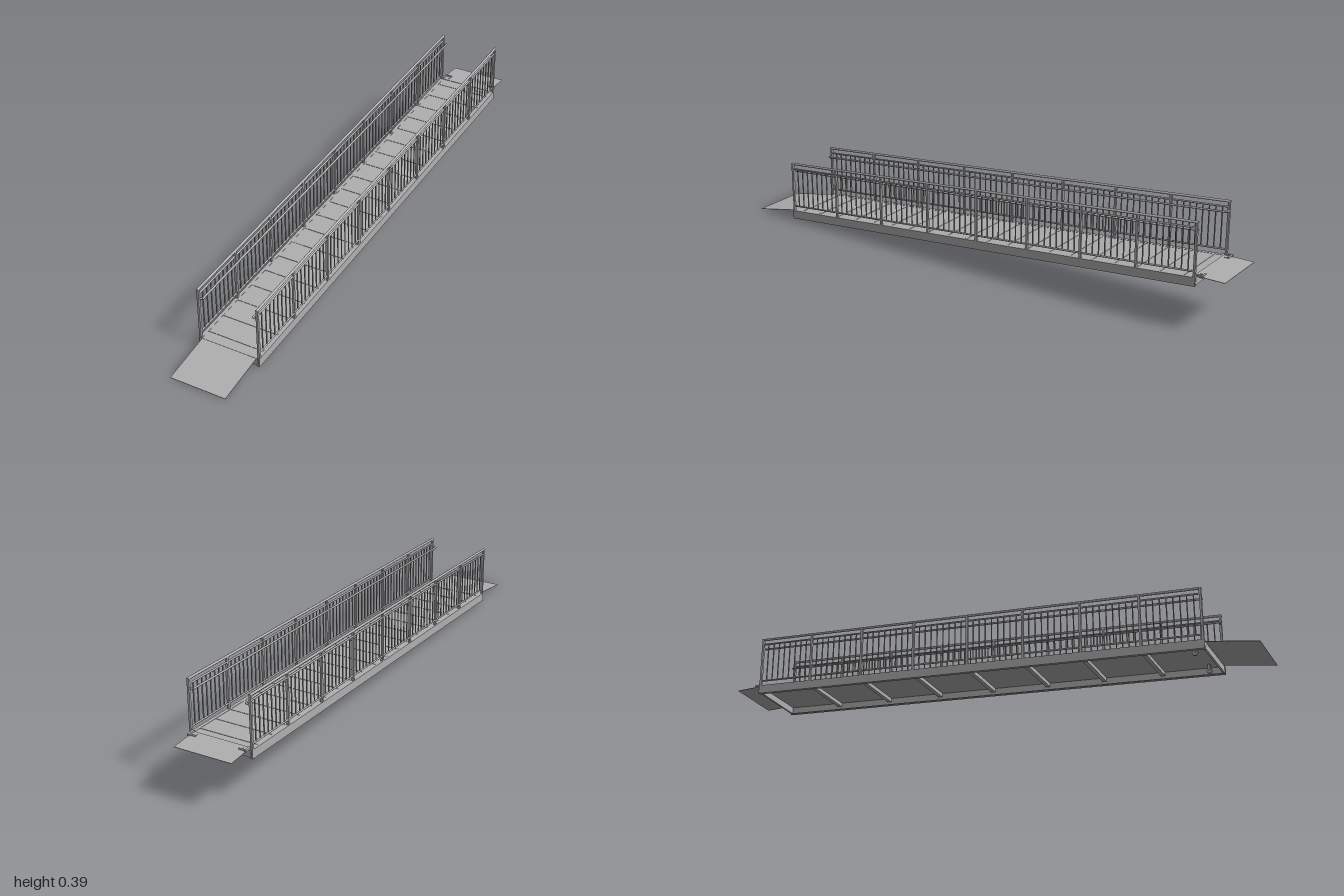
import * as THREE from 'three';
import { mergeGeometries } from 'three/addons/utils/BufferGeometryUtils.js';

const FRONT = 0.82, BACK = -0.9, LENGTH = FRONT - BACK, MID = (FRONT + BACK) / 2;
const SLOPE = 0.0905;
const BAYS = 8, BAY = (LENGTH - 0.01) / BAYS, BALUSTERS = 8;

// Heights are measured at the low front end; incline() shears parts up the slope.
const incline = (g) => {
  const p = g.attributes.position;
  for (let i = 0; i < p.count; i++) p.setY(i, p.getY(i) + SLOPE * (FRONT - p.getZ(i)));
  g.computeVertexNormals();
  return g;
};
const box = (w, h, d, x, y, z) => new THREE.BoxGeometry(w, h, d).translate(x, y, z);
const pipe = (r, len, x, y, z) => new THREE.CylinderGeometry(r, r, len, 10).rotateX(Math.PI / 2).translate(x, y, z);
const crossPipe = (r, len, x, y, z) => new THREE.CylinderGeometry(r, r, len, 10).rotateZ(Math.PI / 2).translate(x, y, z);

export function createModel() {
  const model = new THREE.Group();
  model.name = 'accessRamp';
  const metal = new THREE.MeshStandardMaterial({ color: 0xb0b0b0 });
  metal.name = 'grey aluminium';

  const add = (name, parts, sloped = true) => {
    const g = mergeGeometries(parts);
    const mesh = new THREE.Mesh(sloped ? incline(g) : g, metal);
    mesh.name = name;
    model.add(mesh);
  };
  const postZ = (i) => FRONT - 0.005 - i * BAY;

  // Walking surface with raised grip strips
  add('deck', [box(0.218, 0.004, LENGTH, 0, 0.035, MID)]);
  const strips = [];
  for (let i = 0; i < 20; i++) strips.push(box(0.216, 0.0015, 0.006, 0, 0.0375, FRONT - 0.04 - i * 0.086));
  add('gripStrips', strips);

  // Cross beams under the deck, one at each post
  const beams = [];
  for (let i = 0; i <= BAYS; i++) {
    const end = i === 0 || i === BAYS;
    beams.push(box(0.216, end ? 0.024 : 0.014, end ? 0.008 : 0.016, 0, end ? 0.021 : 0.026, postZ(i)));
  }
  add('crossBeams', beams);

  for (const s of [1, -1]) {
    const side = s > 0 ? 'left' : 'right';
    const xRail = s * 0.1125, xHand = s * 0.0965;

    // Channel-shaped side beam
    add(side + 'Stringer', [
      box(0.004, 0.032, LENGTH, s * 0.115, 0.022, MID),
      box(0.012, 0.003, LENGTH, s * 0.111, 0.0365, MID),
      box(0.012, 0.003, LENGTH, s * 0.111, 0.0075, MID),
    ]);

    // Guard rail: posts, balusters and three long rails
    const posts = [], balusters = [], brackets = [];
    for (let i = 0; i <= BAYS; i++) {
      const z = postZ(i);
      posts.push(box(0.008, 0.190, 0.008, xRail, 0.132, z));
      if (i > 0 && i < BAYS) {
        brackets.push(new THREE.CylinderGeometry(0.0016, 0.0016, 0.017, 6)
          .rotateZ(s * 1.1).translate(s * 0.1045, 0.189, z));
      }
      if (i === BAYS) continue;
      for (let j = 1; j <= BALUSTERS; j++) {
        balusters.push(box(0.0035, 0.15, 0.0035, xRail, 0.132, z - (j * BAY) / (BALUSTERS + 1)));
      }
    }
    add(side + 'Posts', posts);
    add(side + 'Balusters', balusters);
    add(side + 'GuardRails', [
      pipe(0.0045, LENGTH, xRail, 0.2265, MID),
      pipe(0.0033, LENGTH - 0.01, xRail, 0.207, MID),
      pipe(0.0033, LENGTH - 0.01, xRail, 0.057, MID),
    ]);

    // Inner handrail returned to the end posts
    add(side + 'Handrail', [
      pipe(0.0036, LENGTH - 0.01, xHand, 0.194, MID),
      crossPipe(0.0033, 0.018, s * 0.1045, 0.194, postZ(0)),
      crossPipe(0.0033, 0.018, s * 0.1045, 0.194, postZ(BAYS)),
    ]);
    add(side + 'HandrailBrackets', brackets);

    // Wheel and fork under the low end
    add(side + 'Wheel', [
      crossPipe(0.010, 0.008, s * 0.078, 0.0135, 0.775),
      box(0.002, 0.022, 0.008, s * 0.0725, 0.024, 0.775),
      box(0.002, 0.022, 0.008, s * 0.0835, 0.024, 0.775),
    ], false);

    // Hinge bar and hook at the high end
    add(side + 'Hinge', [
      crossPipe(0.003, 0.028, s * 0.094, 0.199, -0.918),
      box(0.007, 0.007, 0.03, s * 0.105, 0.198, -0.908),
      box(0.006, 0.014, 0.012, s * 0.085, 0.19, -0.908),
    ], false);
  }

  // Tilted plate down to the ground
  const run = 0.185, drop = 0.0355;
  const toe = new THREE.BoxGeometry(0.21, 0.0015, Math.hypot(run, drop))
    .rotateX(Math.atan2(drop, run)).translate(0, 0.0186, 0.9075);
  add('toePlate', [toe], false);

  // Level plate onto the landing
  add('landingPlate', [box(0.21, 0.0015, 0.11, 0, 0.1945, -0.945)], false);

  return model;
}
